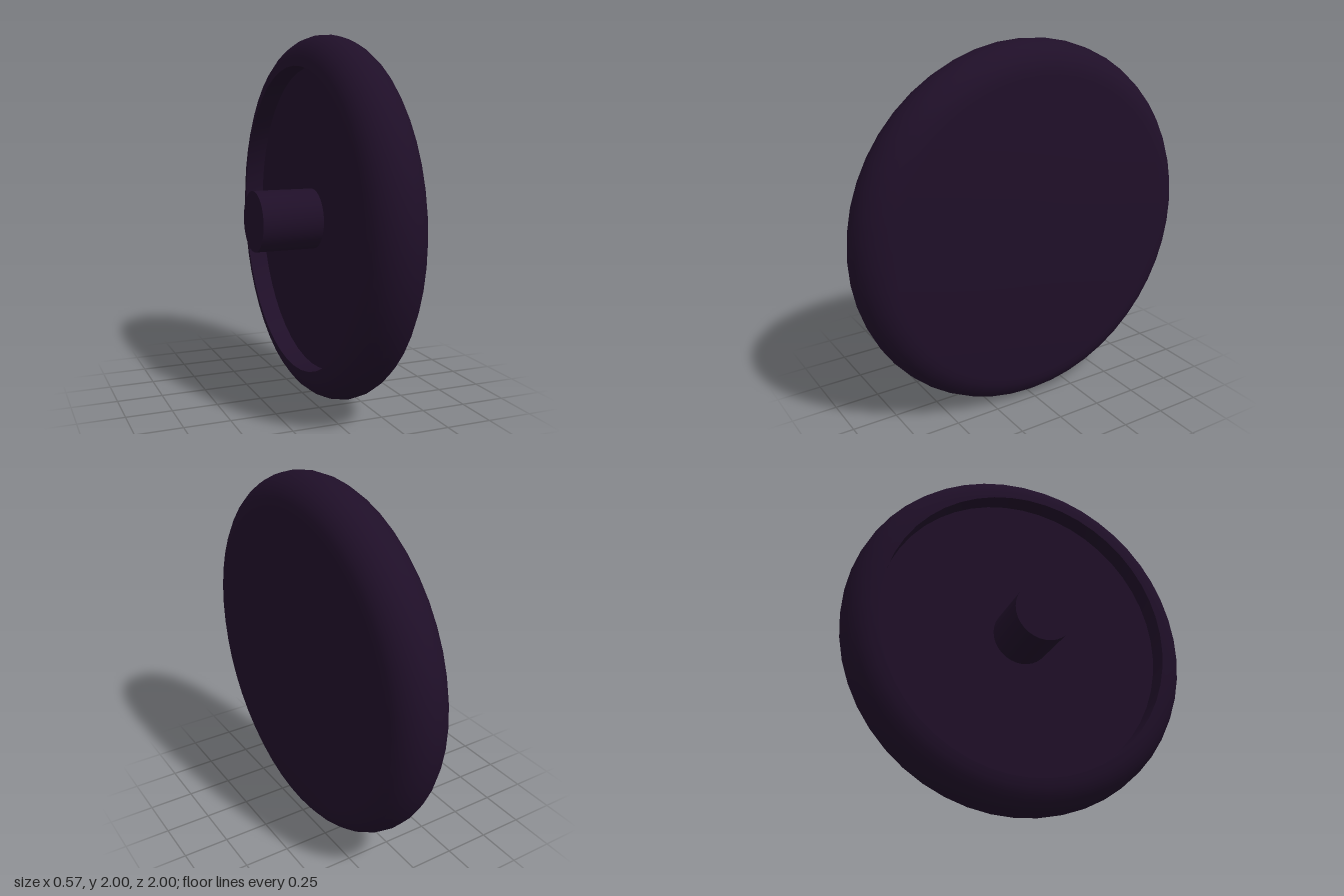
import * as THREE from 'three';
import { toCreasedNormals } from 'three/addons/utils/BufferGeometryUtils.js';

const AXLE_HEIGHT = 1;
const ROUND = 0.167; // radius of the rounded rim, half the disc thickness
const MID = 0.116; // x of the disc's middle plane
const RECESS_X = 0.06; // x of the recess floor

export function createModel() {
  const group = new THREE.Group();
  group.name = 'wheel';
  const material = new THREE.MeshStandardMaterial({ color: 0x1f0f28 });

  // Turns a profile of (radius, x) points around the x axis
  const turned = (name, points, segments) => {
    const profile = points.map(([r, x]) => new THREE.Vector2(r, x));
    const geometry = new THREE.LatheGeometry(profile, segments);
    geometry.rotateZ(-Math.PI / 2);
    const mesh = new THREE.Mesh(toCreasedNormals(geometry, 0.6), material);
    mesh.name = name;
    mesh.position.y = AXLE_HEIGHT;
    group.add(mesh);
  };

  // Disc: recessed inner side, half-round rim, flat outer side
  const disc = [[0, RECESS_X], [1 - ROUND, RECESS_X]];
  const steps = 12;
  for (let i = 0; i <= steps; i++) {
    const a = -Math.PI / 2 + (Math.PI * i) / steps;
    disc.push([1 - ROUND + ROUND * Math.cos(a), MID + ROUND * Math.sin(a)]);
  }
  disc.push([0, MID + ROUND]);
  turned('disc', disc, 48);

  // Axle stub standing out of the recess
  turned('axle', [[0, -0.283], [ROUND, -0.283], [ROUND, RECESS_X]], 32);

  return group;
}
